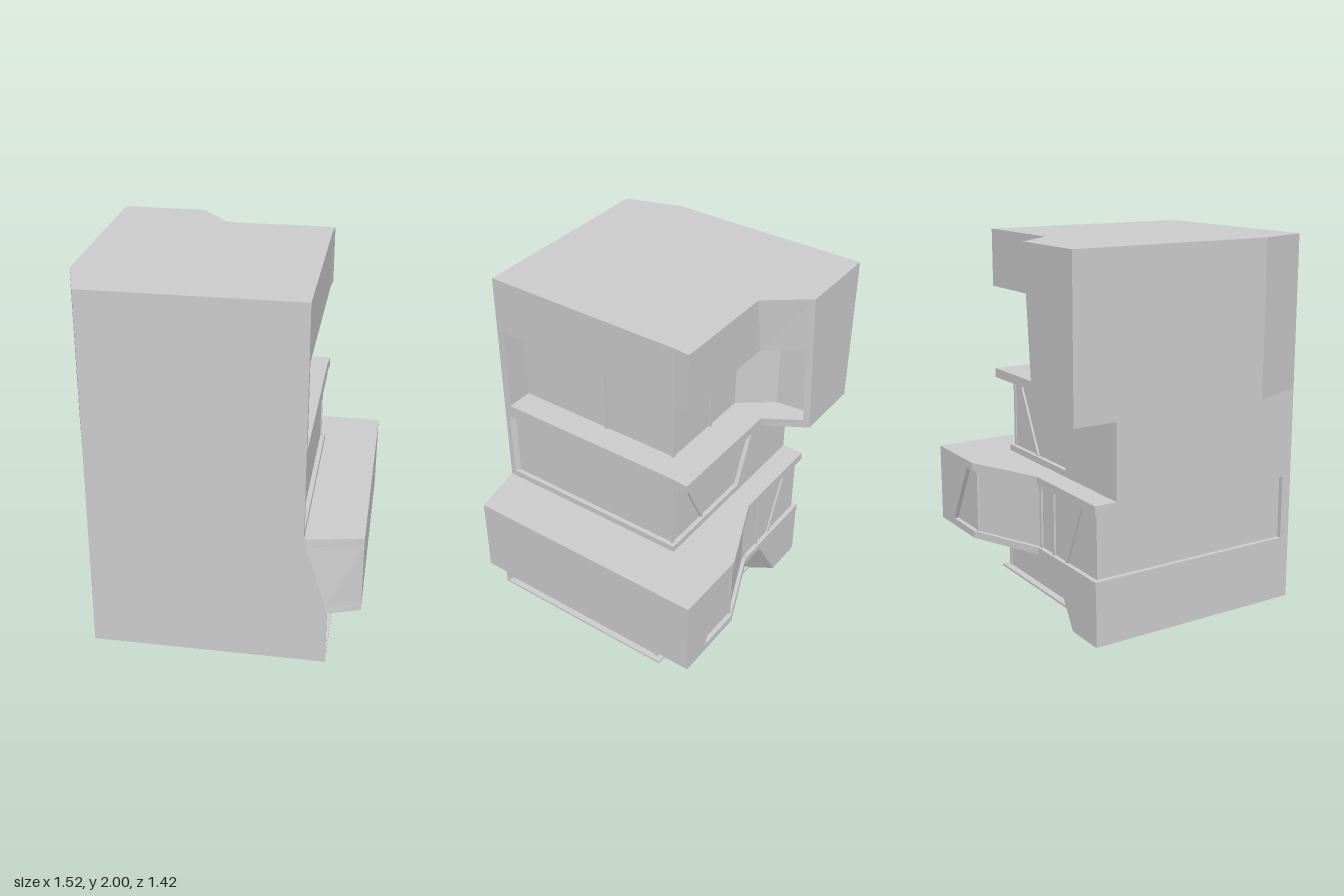
import * as THREE from 'three';

const concrete = new THREE.MeshStandardMaterial({ color: 0xcccccc });
concrete.name = 'pale grey';

// Storey slab: joins a bottom outline to a top outline, both lists of [x, z]
function layer(name, y0, y1, bottom, top = bottom) {
  const toVec = (p) => new THREE.Vector2(p[0], -p[1]);
  let lo = bottom.map(toVec), hi = top.map(toVec);
  if (THREE.ShapeUtils.area(lo) < 0) { lo = lo.reverse(); hi = hi.reverse(); }
  const pos = [];
  const put = (p, y) => pos.push(p.x, y, -p.y);
  lo.forEach((a, i) => {
    const j = (i + 1) % lo.length;
    put(a, y0); put(lo[j], y0); put(hi[j], y1);
    put(a, y0); put(hi[j], y1); put(hi[i], y1);
  });
  for (const [a, b, c] of THREE.ShapeUtils.triangulateShape(hi, [])) {
    put(hi[a], y1); put(hi[b], y1); put(hi[c], y1);
  }
  for (const [a, b, c] of THREE.ShapeUtils.triangulateShape(lo, [])) {
    put(lo[a], y0); put(lo[c], y0); put(lo[b], y0);
  }
  const geo = new THREE.BufferGeometry();
  geo.setAttribute('position', new THREE.Float32BufferAttribute(pos, 3));
  geo.computeVertexNormals();
  const mesh = new THREE.Mesh(geo, concrete);
  mesh.name = name;
  return mesh;
}

// Window bar between two points
function bar(from, to, w = 0.018) {
  const a = new THREE.Vector3(...from), b = new THREE.Vector3(...to);
  const dir = b.clone().sub(a);
  const mesh = new THREE.Mesh(new THREE.BoxGeometry(w, dir.length(), w), concrete);
  mesh.position.copy(a).add(b).multiplyScalar(0.5);
  mesh.quaternion.setFromUnitVectors(new THREE.Vector3(0, 1, 0), dir.normalize());
  mesh.name = 'windowBar';
  return mesh;
}

const mix = (y, y0, v0, y1, v1) => v0 + (v1 - v0) * (y - y0) / (y1 - y0);

// Ground storey: the back wall has a leaning edge
function groundOutline(y, recessed) {
  const e = mix(y, 0, -0.43, 0.31, -0.24);
  const wall = [[0.59, 0.71], [-0.66, 0.71], [-0.66, -0.53], [e, -0.53], [e + 0.08, -0.41]];
  return recessed
    ? [...wall, [e + 0.107, -0.37], [0.555, -0.37], [0.555, 0.695], [0.59, 0.697]]
    : [...wall, [0.59, -0.41]];
}

// Projecting storey: the front corner leans inwards towards the top
function bandOutline(y, recessed) {
  const f = mix(y, 0.31, 0.59, 0.745, 0.46);
  const front = [[0.76, -0.71], [0.76, 0.65], [f, 0.71], [-0.66, 0.71]];
  if (!recessed) return [...front, [-0.66, -0.535], [-0.08, -0.535], [0.34, -0.71]];
  const e = mix(y, 0.35, 0.6, 0.7, 0.41);
  return [...front, [-0.66, 0.655], [-0.635, 0.655], [-0.635, -0.51], [-0.085, -0.51],
    [0.335, -0.685], [e, -0.685], [e, -0.71]];
}

// Middle storey
function middleOutline(y, recessed) {
  const wall = [[0.46, 0.71], [-0.66, 0.71], [-0.66, -0.41]];
  if (!recessed) return [...wall, [0.46, -0.41]];
  const e = mix(y, 0.78, -0.16, 1.155, -0.32);
  return [...wall, [e, -0.41], [e, -0.385], [0.435, -0.385], [0.435, 0.66], [0.46, 0.68]];
}

// Top storey: an overhanging corner block and a deep corner window
function topOutline(y, recessed) {
  const inner = mix(y, 1.18, -0.24, 2, -0.13), outer = mix(y, 1.18, -0.37, 2, -0.3);
  const wall = [[0.46, 0.71], [-0.66, 0.71], [-0.76, 0.41], [-0.76, -0.71], [outer, -0.71]];
  return recessed
    ? [...wall, [outer + 0.02, -0.68], [-0.43, -0.68], [-0.41, -0.48], [-0.27, -0.3],
      [0.31, -0.3], [0.31, 0.67], [0.46, 0.67]]
    : [...wall, [inner, -0.49], [0.467, -0.49], [0.46, -0.4]];
}

export function createModel() {
  const model = new THREE.Group();
  model.name = 'tower';

  // Each storey is a floor slab, a recessed window storey and a ceiling slab
  const storeys = [
    ['ground', groundOutline, [0, 0.012, 0.295, 0.31]],
    ['projecting', bandOutline, [0.31, 0.35, 0.7, 0.745]],
    ['middle', middleOutline, [0.745, 0.78, 1.155, 1.18]],
    ['top', topOutline, [1.18, 1.23, 1.69, 2]],
  ];
  for (const [name, outline, ys] of storeys) {
    const storey = new THREE.Group();
    storey.name = name + 'Storey';
    ['Floor', 'Walls', 'Ceiling'].forEach((part, i) => {
      const recessed = i === 1;
      storey.add(layer(name + part, ys[i], ys[i + 1],
        outline(ys[i], recessed), outline(ys[i + 1], recessed)));
    });
    model.add(storey);
  }

  // Upright bars: x, z, bottom, top
  for (const [x, z, y0, y1] of [
    [0.312, 0.13, 1.23, 1.69], [0.308, -0.298, 1.23, 1.69], [-0.02, -0.302, 1.23, 1.69],
    [0.432, -0.382, 0.78, 1.155],
    [0.332, -0.683, 0.35, 0.7], [-0.085, -0.512, 0.35, 0.7], [-0.22, -0.512, 0.35, 0.7],
    [0.553, -0.368, 0.012, 0.295], [0.553, 0.69, 0.012, 0.295],
  ]) model.add(bar([x, y0, z], [x, y1, z]));

  // Leaning bars
  model.add(bar([0.17, 0.78, -0.387], [0.36, 1.155, -0.387]));
  model.add(bar([-0.35, 0.35, -0.512], [-0.5, 0.7, -0.512]));
  model.add(bar([-0.3, 0.012, -0.372], [-0.12, 0.295, -0.372]));

  return model;
}
